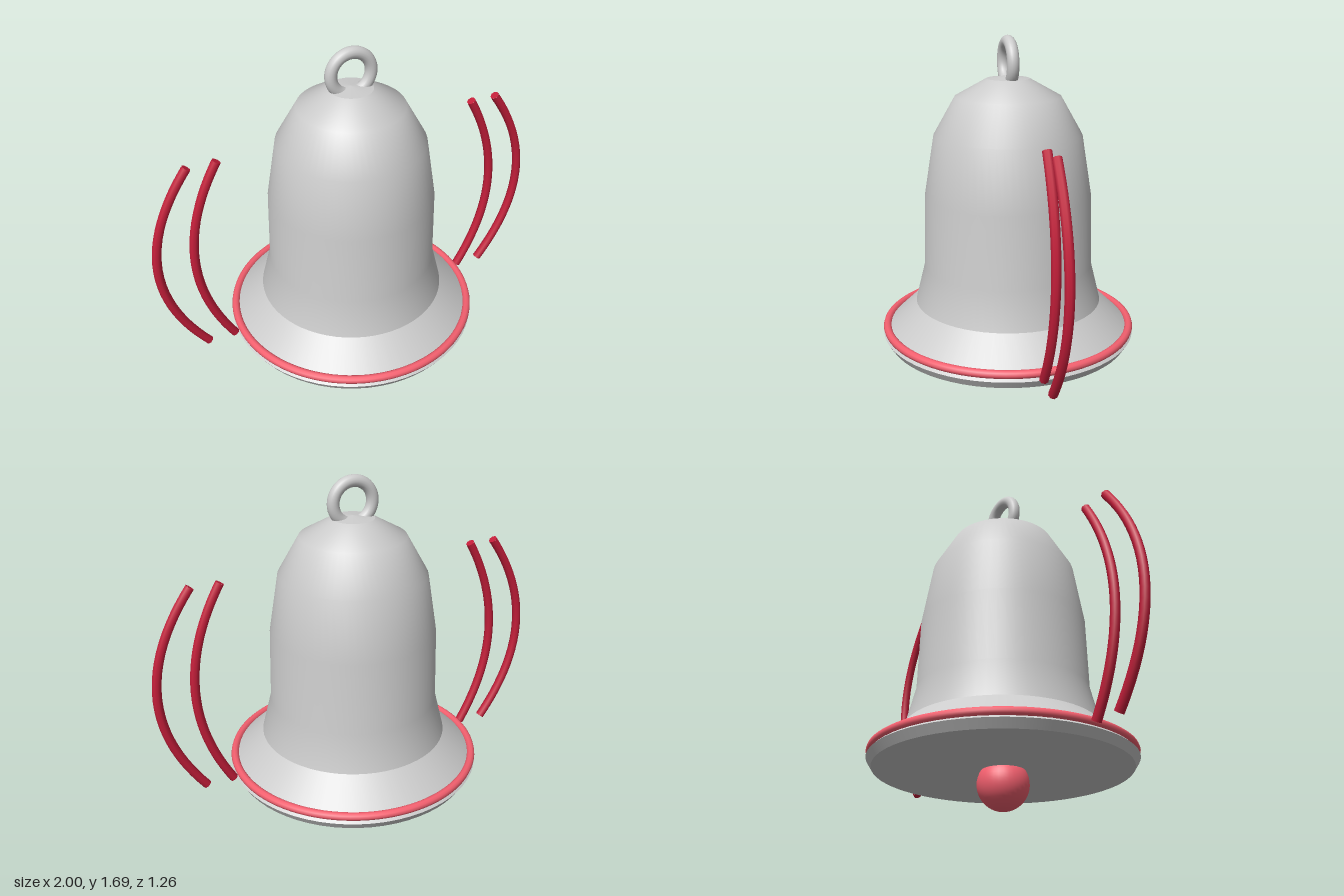
import * as THREE from 'three';
import { mergeGeometries } from 'three/addons/utils/BufferGeometryUtils.js';

const grey = new THREE.MeshStandardMaterial({ color: 0xcccccc });
const coral = new THREE.MeshStandardMaterial({ color: 0xf4606f });
const crimson = new THREE.MeshStandardMaterial({ color: 0xc41e3a });

// Smooth surface of revolution from [radius, height] pairs, bottom to top
const turn = (points) =>
  new THREE.LatheGeometry(points.map(([r, y]) => new THREE.Vector2(r, y)), 64);

// Curved sound-wave bar with capped ends, bulging along +x
function waveGeometry(endX, midX) {
  const midY = 0.755, half = 0.515, radius = 0.022;
  const a = new THREE.Vector3(endX, midY - half, 0);
  const c = new THREE.Vector3(endX, midY + half, 0);
  const control = new THREE.Vector3(2 * midX - endX, midY, 0);
  const path = new THREE.QuadraticBezierCurve3(a, control, c);
  const parts = [new THREE.TubeGeometry(path, 24, radius, 8)];
  const zAxis = new THREE.Vector3(0, 0, 1);
  for (const [t, sign] of [[0, -1], [1, 1]]) {
    const out = path.getTangent(t).multiplyScalar(sign);
    const cap = new THREE.CircleGeometry(radius, 8);
    cap.applyQuaternion(new THREE.Quaternion().setFromUnitVectors(zAxis, out));
    const p = path.getPoint(t);
    parts.push(cap.translate(p.x, p.y, p.z));
  }
  return mergeGeometries(parts);
}

export function createModel() {
  const model = new THREE.Group();
  model.name = 'bell';
  const add = (name, geometry, material, x = 0, y = 0, z = 0) => {
    const mesh = new THREE.Mesh(geometry, material);
    mesh.name = name;
    mesh.position.set(x, y, z);
    model.add(mesh);
    return mesh;
  };

  // Bell shell, split into sections where the edges are sharp
  const sections = {
    bellBase: [[0, 0.185], [0.605, 0.185]],
    bellRim: [[0.605, 0.185], [0.63, 0.225]],
    bellFlare: [[0.63, 0.225], [0.462, 0.384]],
    bellBody: [[0.462, 0.384], [0.415, 0.572], [0.406, 0.924], [0.358, 1.217], [0.254, 1.4], [0.103, 1.484]],
    bellCrown: [[0.103, 1.484], [0, 1.496]],
  };
  for (const [name, points] of Object.entries(sections)) add(name, turn(points), grey);

  // Hanging loop, rim band and clapper
  add('hangingLoop', new THREE.TorusGeometry(0.099, 0.029, 16, 48), grey, 0, 1.557, 0);
  const band = new THREE.TorusGeometry(0.611, 0.02, 10, 96).rotateX(Math.PI / 2);
  add('rimBand', band, coral, 0, 0.255, 0);
  add('clapper', new THREE.SphereGeometry(0.122, 32, 24), coral, 0, 0.122, 0);

  // Two sound-wave bars on each side
  for (const [name, endX, midX] of [['innerWave', 0.65, 0.802], ['outerWave', 0.785, 0.978]]) {
    const geometry = waveGeometry(endX, midX);
    add(name + 'Left', geometry, crimson);
    add(name + 'Right', geometry, crimson).rotation.y = Math.PI;
  }

  return model;
}
